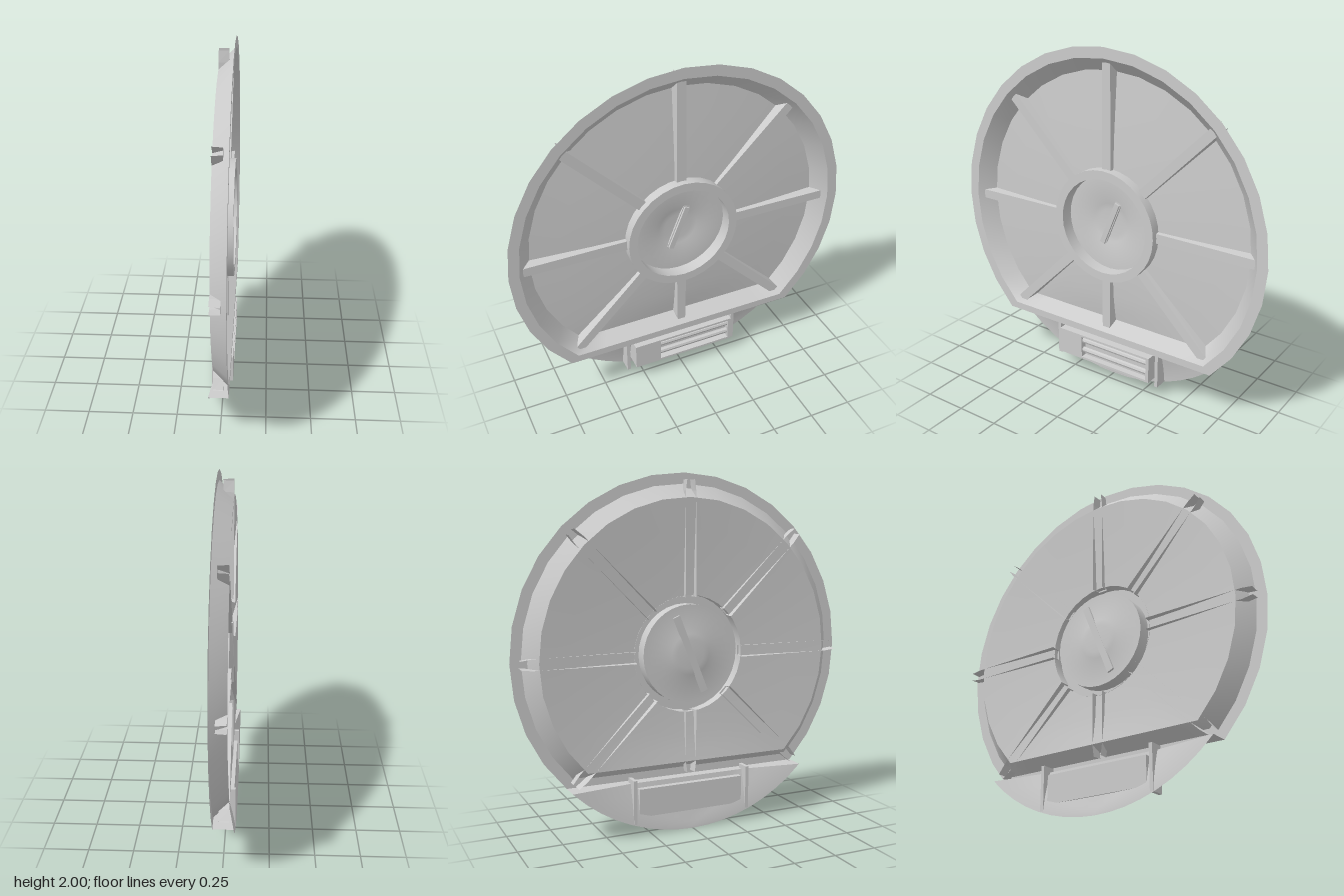
import * as THREE from 'three';
import { toCreasedNormals } from 'three/addons/utils/BufferGeometryUtils.js';

const SEG = 32;
const smooth = new THREE.MeshStandardMaterial({ color: 0xcccccc, side: THREE.DoubleSide });
const flat = new THREE.MeshStandardMaterial({ color: 0xcccccc, side: THREE.DoubleSide, flatShading: true });

// Surface through a list of equal-length cross-sections of [x, y, z]
function loft(rings, closed) {
  const n = rings[0].length, index = [];
  for (let r = 0; r < rings.length - 1; r++) {
    for (let i = 0; i < (closed ? n : n - 1); i++) {
      const j = (i + 1) % n, a = r * n + i, b = r * n + j, c = a + n, d = b + n;
      index.push(a, b, c, b, d, c);
    }
  }
  const geo = new THREE.BufferGeometry();
  geo.setAttribute('position', new THREE.Float32BufferAttribute(rings.flat(2), 3));
  geo.setIndex(index);
  geo.computeVertexNormals();
  return geo;
}

// Ring at depth x: a circle whose lower quarter is flattened to a chord (cut = 1) or left round (cut = 0)
function ring(radius, x, cut = 1) {
  const points = [];
  for (let i = 0; i < SEG; i++) {
    const a = (i / SEG) * Math.PI * 2;
    let u = Math.sin(a) * radius, v = Math.cos(a) * radius;
    if (i > 12 && i < 20) {
      const chordU = Math.SQRT1_2 * radius * (16 - i) / 4;
      u += (chordU - u) * cut;
      v += (-Math.SQRT1_2 * radius - v) * cut;
    }
    points.push([x, 1 + v, -u]);
  }
  return points;
}

export function createModel() {
  const model = new THREE.Group();
  const add = (name, geo, material = smooth) => {
    const mesh = new THREE.Mesh(geo, material);
    mesh.name = name;
    model.add(mesh);
    return mesh;
  };
  const box = (name, x0, x1, y0, y1, u0, u1) => {
    const geo = new THREE.BoxGeometry(x1 - x0, y1 - y0, u1 - u0);
    geo.translate((x0 + x1) / 2, (y0 + y1) / 2, -(u0 + u1) / 2);
    return add(name, geo, flat);
  };

  // Flat flange, sloping rim wall and shallow domed plate
  add('flange', loft([ring(1, 0.05), ring(0.94, 0.05)], true));
  add('rimWall', loft([ring(0.94, 0.05), ring(0.865, -0.035)], true));
  add('plate', loft([
    ring(0.865, -0.035), ring(0.7, -0.024, 0.75), ring(0.52, -0.012, 0.4), ring(0.33, -0.004, 0),
  ], true));

  // Radial ribs: channels open at the back, running out through the rim wall
  for (let i = 0; i < 8; i++) {
    const end = i === 4 ? 0.68 : 0.96;
    const stations = [[0.32, 0.033], [end - 0.06, 0.031], [end, 0.023]];
    const rib = add('rib', loft(stations.map(([r, w]) => [
      [-0.035, r, -w], [0.02, r, -w * 0.85], [0.02, r, w * 0.85], [-0.035, r, w],
    ]), false), flat);
    rib.rotation.x = i * Math.PI / 4;
    rib.position.y = 1;
  }

  // Hub: raised ring, sunken floor and central dimple
  const profile = [
    [0.33, -0.006], [0.33, 0.055], [0.28, 0.055], [0.28, -0.02],
    [0.148, -0.02], [0.115, -0.03], [0.08, -0.033], [0, -0.033],
  ].map(([r, x]) => new THREE.Vector2(r, x));
  const hub = new THREE.LatheGeometry(profile, SEG);
  hub.rotateZ(-Math.PI / 2);
  add('hub', toCreasedNormals(hub, 0.6)).position.y = 1;

  // Slanted grip bar across the dimple
  const bar = add('gripBar', new THREE.BoxGeometry(0.013, 0.46, 0.04), flat);
  bar.position.set(-0.0275, 1, 0);
  bar.rotation.x = -0.38;
  const ridge = add('gripRidge', new THREE.BoxGeometry(0.022, 0.27, 0.03), flat);
  ridge.position.set(-0.02, 1, 0);
  ridge.rotation.x = -0.38;

  // Lower segment panel, bulging forward towards the middle of its top edge
  const top = 1 - Math.SQRT1_2;
  const rows = [];
  for (let r = 0; r <= 8; r++) {
    const y = top * (r / 8) ** 2;
    const half = Math.sqrt(1 - (1 - y) ** 2);
    rows.push(Array.from({ length: 17 }, (_, c) => {
      const u = half * (c / 8 - 1);
      const bulge = Math.min(1, (half - Math.abs(u)) / 0.35);
      return [-0.06 + 0.05 * (y / top) * bulge, y, -u];
    }));
  }
  add('lowerPanel', loft(rows, false));

  // Shelf closing the gap between the flange and the lower panel
  const panelTop = rows[8];
  add('shelf', loft([panelTop, panelTop.map(([, y, z]) => [0.05, y, z])], false), flat);

  // Upright brackets either side of the vent
  for (const s of [-1, 1]) {
    box('bracket', -0.06, 0.02, 0.07, 0.32, s * 0.349 - 0.01, s * 0.349 + 0.01);
  }

  // Vent housing: solid block, open frame and two horizontal bars
  box('ventBase', -0.05, 0.02, 0.105, 0.265, -0.315, 0.32);
  box('ventBlock', 0.02, 0.058, 0.105, 0.265, -0.315, -0.155);
  box('ventEnd', 0.02, 0.058, 0.105, 0.265, 0.3, 0.32);
  box('ventSill', 0.02, 0.058, 0.105, 0.118, -0.155, 0.3);
  box('ventLintel', 0.02, 0.058, 0.252, 0.265, -0.155, 0.3);
  for (const y of [0.16, 0.222]) {
    const rod = new THREE.CylinderGeometry(0.017, 0.017, 0.455, 8);
    rod.rotateX(Math.PI / 2);
    rod.translate(0.035, y, -0.0725);
    add('ventBar', rod, flat);
  }
  return model;
}
